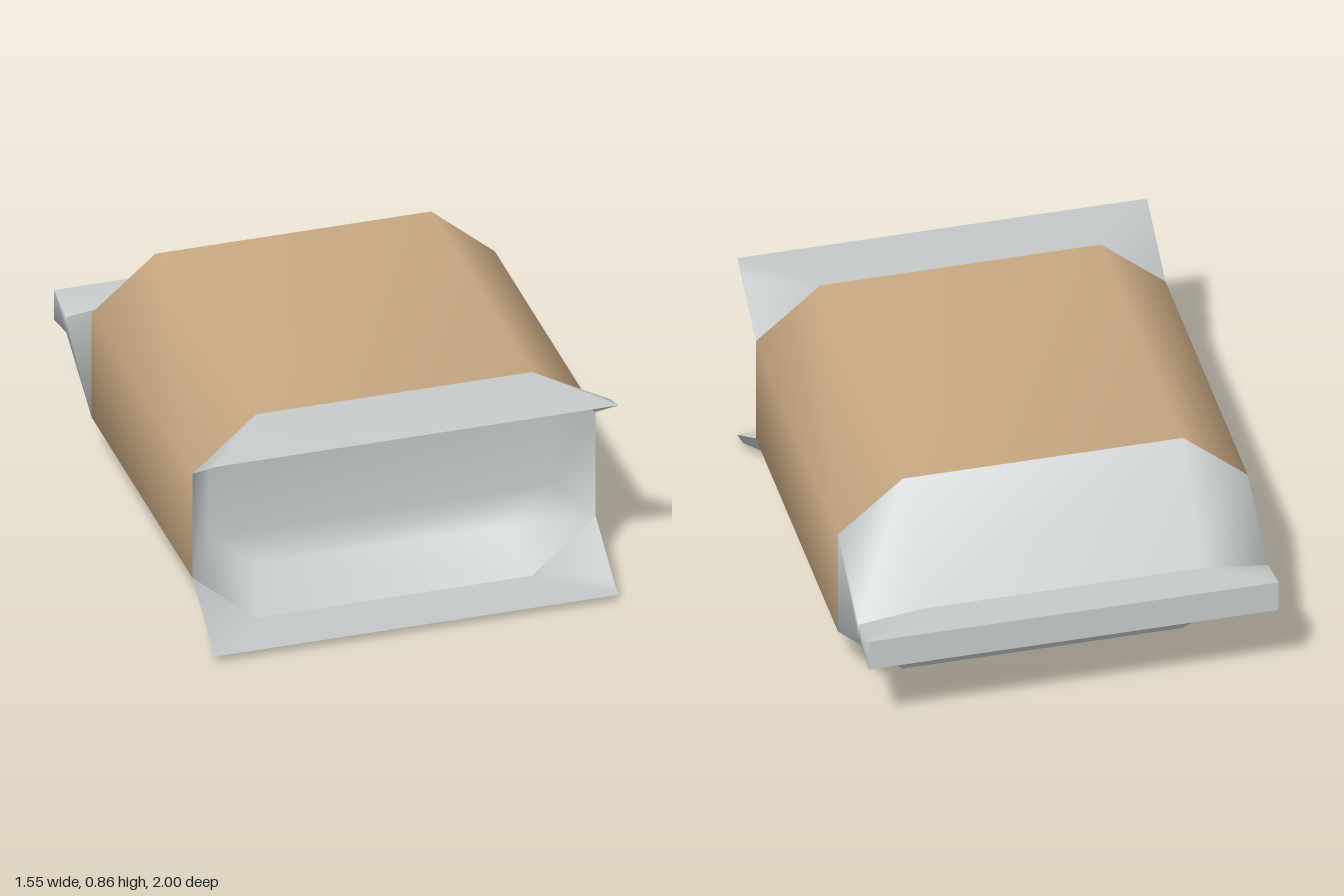
import * as THREE from 'three';

const W = 0.775, MID = 0.43;

// Eight-sided section, anticlockwise seen from the front
function ring(w, wc, h, hc, z) {
  return [[w, -hc], [w, hc], [wc, h], [-wc, h], [-w, hc], [-w, -hc], [-wc, -h], [wc, -h]]
    .map(([x, y]) => [x, MID + y, z]);
}

function makeMesh(name, points, triangles, material) {
  const geometry = new THREE.BufferGeometry();
  geometry.setAttribute('position', new THREE.Float32BufferAttribute(points.flat(), 3));
  geometry.setIndex(triangles.flat());
  geometry.computeVertexNormals();
  const mesh = new THREE.Mesh(geometry, material);
  mesh.name = name;
  return mesh;
}

// Side faces between two sections, from front to back
function loftFaces(n) {
  const faces = [];
  for (let i = 0; i < n; i++) {
    const j = (i + 1) % n;
    faces.push([i, n + i, j], [j, n + i, n + j]);
  }
  return faces;
}

export function createModel() {
  const group = new THREE.Group();
  group.name = 'openFoilBag';
  const foil = new THREE.MeshStandardMaterial({ color: 0xc6cacb, side: THREE.DoubleSide });
  const paper = new THREE.MeshStandardMaterial({ color: 0xc8a882, side: THREE.DoubleSide });

  const mouth = ring(W, 0.53, 0.43, 0.22, 0.72);
  const shoulder = ring(W, 0.53, 0.43, 0.22, -0.53);
  const neck = ring(W, 0.53, 0.0625, 0.032, -0.845);
  const sealEnd = ring(W, W, 0.0625, 0.0625, -1);
  const inner = ring(0.655, 0.48, 0.303, 0.157, 0.55);

  // Label sleeve, tapered back and crimped seal
  group.add(makeMesh('labelSleeve', [...mouth, ...shoulder], loftFaces(8), paper));
  group.add(makeMesh('taperedBack', [...shoulder, ...neck], loftFaces(8), foil));
  group.add(makeMesh('crimpedSeal', [...neck, ...sealEnd], loftFaces(8), foil));
  const endCap = new THREE.Mesh(new THREE.PlaneGeometry(2 * W, 0.125), foil);
  endCap.name = 'sealEnd';
  endCap.rotation.y = Math.PI;
  endCap.position.set(0, MID, -1);
  group.add(endCap);

  // Hollow in the mouth: sloping rim and floor, shaded as one smooth surface
  const hollow = loftFaces(8).map(([a, b, c]) => [a, c, b]);
  hollow.push([14, 15, 8], [14, 8, 13], [13, 8, 9], [13, 9, 12], [12, 9, 10], [12, 10, 11]);
  group.add(makeMesh('mouthHollow', [...mouth, ...inner], hollow, foil));

  // Torn-open flaps, with a small fold at the left corner
  const flap = [
    [W, 0.65, 0.72], [0.53, 0.86, 0.72], [-0.53, 0.86, 0.72], [-W, 0.65, 0.72],
    [W, 0.83, 1], [-W, 0.83, 1], [W, 0.808, 0.915],
  ];
  const flapFaces = [[6, 0, 1], [4, 0, 6], [4, 6, 1], [4, 1, 5], [1, 2, 5], [2, 3, 5]];
  group.add(makeMesh('upperFlap', flap, flapFaces, foil));
  group.add(makeMesh('lowerFlap', flap.map(([x, y, z]) => [x, 2 * MID - y, z]),
    flapFaces.map(([a, b, c]) => [a, c, b]), foil));

  return group;
}
